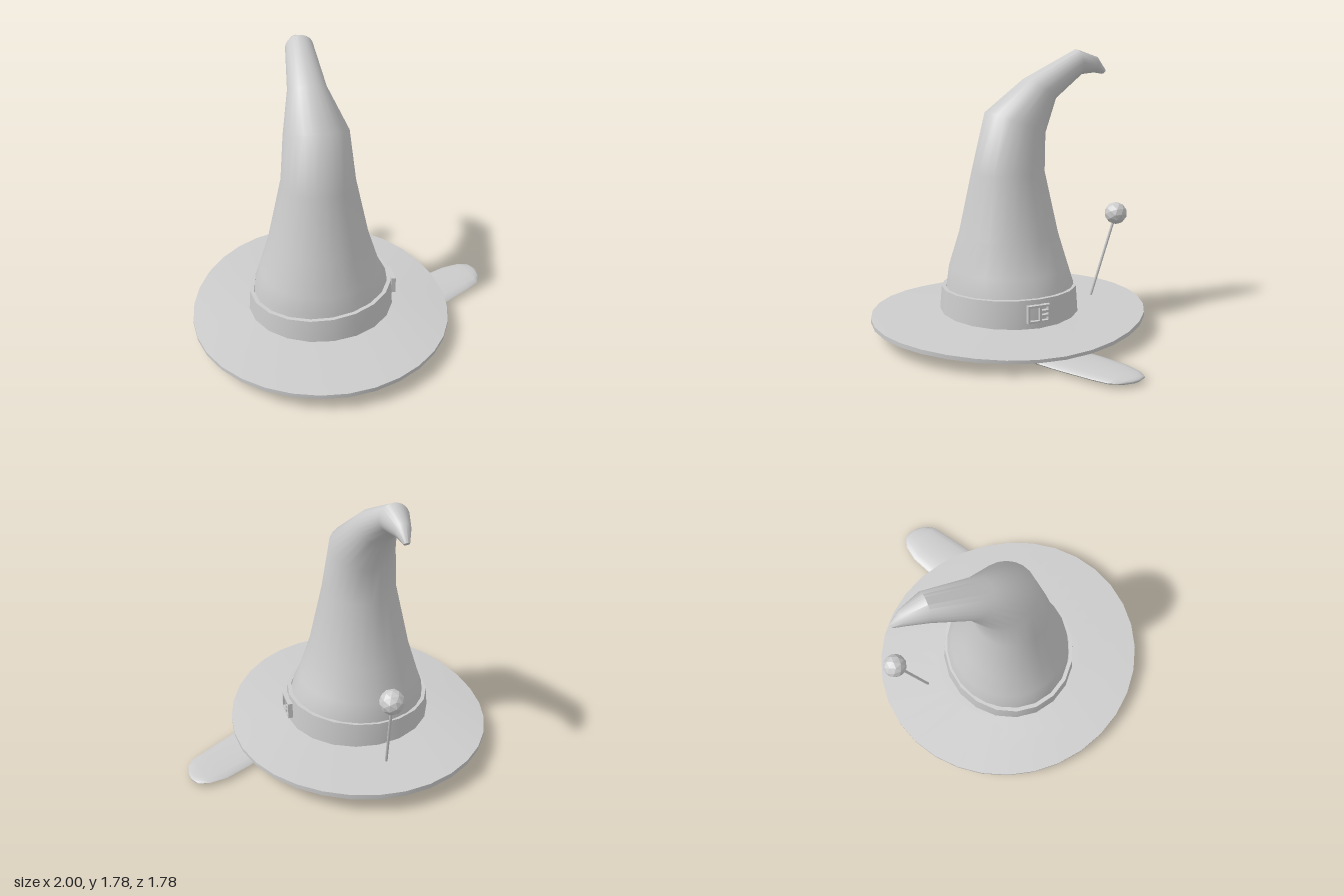
import * as THREE from 'three';
import { toCreasedNormals } from 'three/addons/utils/BufferGeometryUtils.js';

const material = new THREE.MeshStandardMaterial({ color: 0xcccccc });

// Skin a list of cross-sections; point(section, angle) gives [x, y, z].
function loft(sections, sides, point, crease = 0.75) {
  const positions = [], index = [];
  for (const s of sections) {
    for (let j = 0; j < sides; j++) positions.push(...point(s, (j / sides) * Math.PI * 2));
  }
  for (let i = 0; i < sections.length - 1; i++) {
    for (let j = 0; j < sides; j++) {
      const k = (j + 1) % sides;
      const a = i * sides + j, b = i * sides + k, c = a + sides, d = b + sides;
      index.push(a, c, b, b, c, d);
    }
  }
  const g = new THREE.BufferGeometry();
  g.setAttribute('position', new THREE.Float32BufferAttribute(positions, 3));
  g.setIndex(index);
  return toCreasedNormals(g, crease);
}

export function createModel() {
  const root = new THREE.Group();
  root.name = 'hat';
  const add = (name, geometry, parent = root, mat = material) => {
    const mesh = new THREE.Mesh(geometry, mat);
    mesh.name = name;
    parent.add(mesh);
    return mesh;
  };

  // Wavy brim: [radius fraction, y, droop towards the sides]
  const brim = [[0, 0.115, 0], [0.55, 0.115, 0], [1, 0.11, 0.03], [1, 0.14, 0.04], [0.55, 0.15, 0], [0, 0.15, 0]];
  add('brim', loft(brim, 32, ([r, y, droop], a) => [
    -0.17 + 0.83 * r * Math.cos(a),
    y - droop * Math.cos(a) ** 4 - droop * 0.3 * Math.sin(a) * r,
    0.89 * r * Math.sin(a),
  ], 0.6));

  // Bent cone: [xMin, xMax, frontZ, frontY, backZ, backY]
  const cone = [
    [-0.605, 0.275, 0.42, 0.14, -0.43, 0.14],
    [-0.59, 0.262, 0.40, 0.33, -0.41, 0.33],
    [-0.555, 0.21, 0.385, 0.43, -0.385, 0.43],
    [-0.49, 0.145, 0.32, 0.64, -0.32, 0.64],
    [-0.40, 0.06, 0.235, 1.04, -0.23, 1.04],
    [-0.37, 0.03, 0.145, 1.41, -0.235, 1.27],
    [-0.31, -0.07, -0.12, 1.61, -0.325, 1.48],
    [-0.275, -0.10, -0.48, 1.79, -0.51, 1.63],
    [-0.235, -0.14, -0.63, 1.74, -0.61, 1.64],
    [-0.205, -0.17, -0.695, 1.655, -0.67, 1.63],
    [-0.19, -0.19, -0.685, 1.64, -0.685, 1.64],
  ];
  add('bentCone', loft(cone, 24, ([x0, x1, fz, fy, bz, by], a) => {
    const c = Math.cos(a), s = Math.sin(a);
    return [(x0 + x1) / 2 + c * (x1 - x0) / 2, (fy + by) / 2 + s * (fy - by) / 2, (fz + bz) / 2 + s * (fz - bz) / 2];
  }));

  // Band with a slanted top edge: [x radius, z radius, y, slant]
  const band = [[0.47, 0.445, 0.13, 0], [0.458, 0.43, 0.302, 0.024], [0.432, 0.405, 0.302, 0.024], [0.425, 0.40, 0.13, 0]];
  add('hatBand', loft(band, 20, ([rx, rz, y, slant], a) => [
    -0.167 + rx * Math.cos(a), y + slant * Math.cos(a), rz * Math.sin(a),
  ], 0.5));

  // Half-moon eyes on the band
  const lid = new THREE.Shape();
  lid.moveTo(-0.105, -0.045);
  lid.bezierCurveTo(-0.1, 0.01, -0.05, 0.05, 0, 0.05);
  lid.bezierCurveTo(0.05, 0.05, 0.1, 0.01, 0.105, -0.045);
  lid.quadraticCurveTo(0.06, -0.055, 0.04, -0.04);
  lid.quadraticCurveTo(0, -0.03, -0.04, -0.04);
  lid.quadraticCurveTo(-0.06, -0.055, -0.105, -0.045);
  const lidGeometry = toCreasedNormals(new THREE.ExtrudeGeometry(lid, {
    depth: 0.03, bevelThickness: 0.012, bevelSize: 0.008, bevelSegments: 2, curveSegments: 6,
  }), 0.6);
  for (const side of [1, -1]) {
    const eye = new THREE.Group();
    eye.name = side > 0 ? 'frontEye' : 'backEye';
    eye.position.set(0.205, 0.242, 0.25 * side);
    eye.rotation.y = Math.PI / 2 - 0.58 * side;
    add('eyelid', lidGeometry, eye).position.z = -0.025;
    const pupil = add('pupil', new THREE.SphereGeometry(0.03, 12, 8), eye);
    pupil.scale.set(0.9, 1.15, 0.8);
    pupil.position.set(0, 0.008, 0.016);
  }

  // Square buckle with a middle bar and prongs
  const buckle = new THREE.Group();
  buckle.name = 'buckle';
  buckle.position.set(0.302, 0.242, 0.007);
  root.add(buckle);
  const bars = [
    [0, 0.048, 0.145, 0.013], [0, -0.048, 0.145, 0.013],
    [0.066, 0, 0.013, 0.108], [-0.066, 0, 0.013, 0.108], [-0.01, 0, 0.013, 0.09],
    [-0.035, 0.014, 0.06, 0.012], [-0.035, -0.014, 0.06, 0.012],
  ];
  for (const [z, y, w, h] of bars) {
    add('buckleBar', new THREE.BoxGeometry(0.03, h, w), buckle).position.set(0, y, z);
  }

  // Round-headed pin pushed through the brim
  const foot = new THREE.Vector3(-0.16, 0.105, -0.585);
  const head = new THREE.Vector3(-0.115, 0.71, -0.755);
  add('pinStem', new THREE.TubeGeometry(new THREE.LineCurve3(foot, head), 1, 0.009, 8));
  add('pinHead', new THREE.IcosahedronGeometry(0.075, 1), root,
    new THREE.MeshStandardMaterial({ color: 0xcccccc, flatShading: true })).position.copy(head);

  // Tongue under the brim: [x, z of back edge, x, z of front edge, y, half thickness]
  const tongue = [
    [0.21, 0.1, 0.21, 0.1, 0.085, 0],
    [0.215, 0.03, 0.23, 0.17, 0.08, 0.02],
    [0.27, -0.03, 0.33, 0.215, 0.055, 0.03],
    [0.42, -0.14, 0.46, 0.19, 0.043, 0.03],
    [0.62, -0.265, 0.68, 0.065, 0.036, 0.026],
    [0.78, -0.335, 0.87, -0.05, 0.034, 0.024],
    [0.89, -0.352, 0.955, -0.105, 0.036, 0.02],
    [0.96, -0.335, 0.99, -0.16, 0.037, 0.015],
    [0.99, -0.29, 0.998, -0.215, 0.037, 0.009],
    [1.0, -0.25, 1.0, -0.25, 0.037, 0],
  ];
  add('tongue', loft(tongue, 16, ([x0, z0, x1, z1, y, t], a) => {
    const c = Math.cos(a);
    return [(x0 + x1) / 2 + c * (x1 - x0) / 2, y + t * Math.sin(a), (z0 + z1) / 2 + c * (z1 - z0) / 2];
  }, 1.1));

  // Small teeth either side of the tongue
  const toothGeometry = toCreasedNormals(new THREE.CylinderGeometry(0.04, 0.036, 0.08, 8), 0.4);
  for (const z of [0.27, -0.215]) {
    const tooth = add('tooth', toothGeometry);
    tooth.scale.x = 0.5;
    tooth.position.set(0.47, 0.077, z);
  }
  return root;
}
